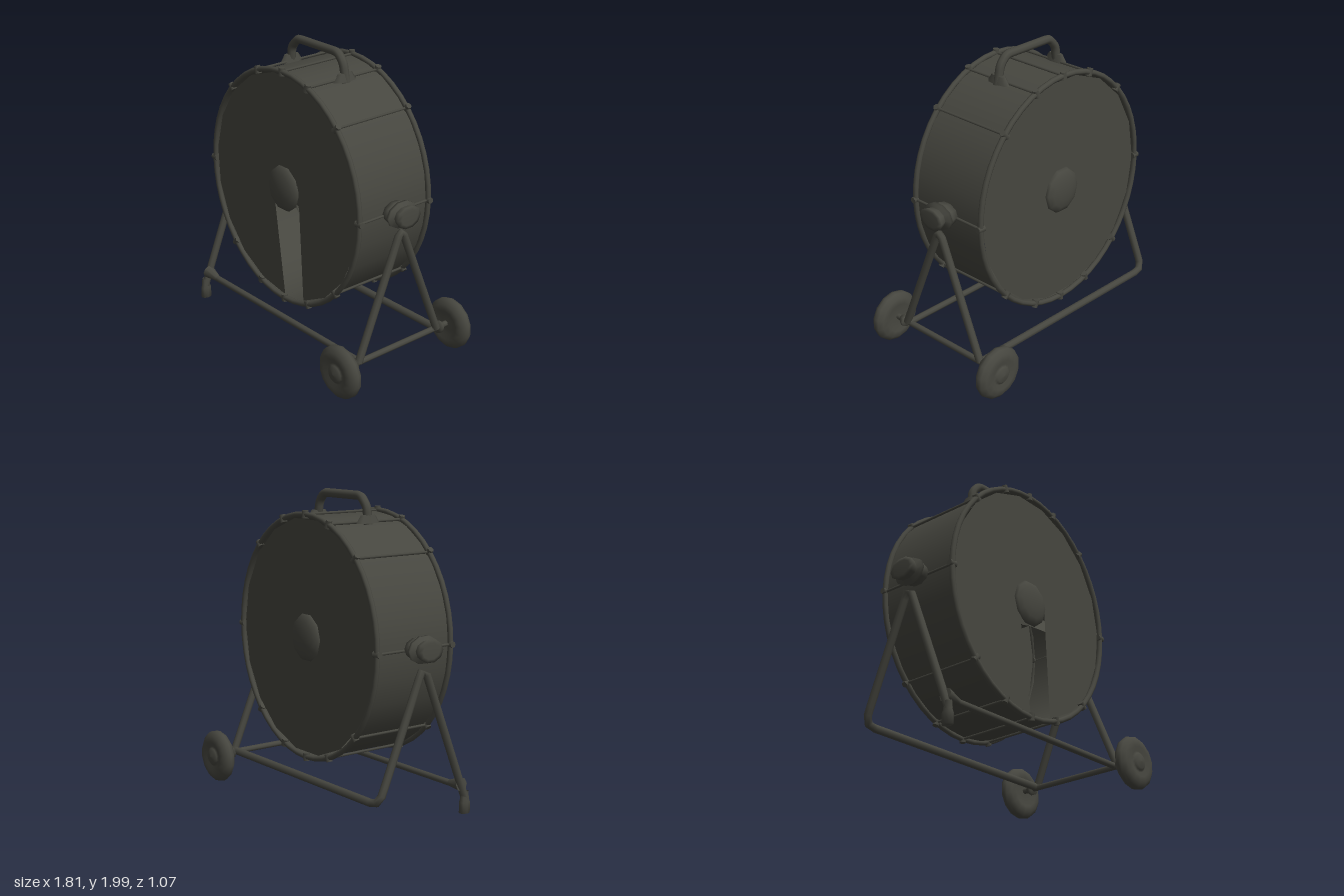
import * as THREE from 'three';

const metal = new THREE.MeshStandardMaterial({ color: 0x46463f, side: THREE.DoubleSide });
metal.name = 'dark grey metal';

const CX = -0.045, CY = 1.09;   // drum centre
const RX = 0.717, RY = 0.772;   // rim half-width and half-height
const RIM_Z = 0.285;
const V = (x, y, z) => new THREE.Vector3(x, y, z);

function add(parent, name, geometry, x = 0, y = 0, z = 0) {
  const mesh = new THREE.Mesh(geometry, metal);
  mesh.name = name;
  mesh.position.set(x, y, z);
  parent.add(mesh);
  return mesh;
}

// Straight round bar between two points
function bar(parent, name, a, b, r0, r1 = r0, sides = 8) {
  const dir = b.clone().sub(a);
  const mesh = add(parent, name, new THREE.CylinderGeometry(r1, r0, dir.length(), sides));
  mesh.position.copy(a).add(b).multiplyScalar(0.5);
  mesh.quaternion.setFromUnitVectors(V(0, 1, 0), dir.normalize());
  return mesh;
}

// Bent tube: straight runs joined by small rounded corners
function bentTube(parent, name, points, radius, corner = 0.05) {
  const path = new THREE.CurvePath();
  let from = points[0];
  for (let i = 1; i < points.length - 1; i++) {
    const p = points[i];
    const a = p.clone().add(points[i - 1].clone().sub(p).setLength(corner));
    const b = p.clone().add(points[i + 1].clone().sub(p).setLength(corner));
    path.add(new THREE.LineCurve3(from, a));
    path.add(new THREE.QuadraticBezierCurve3(a, p, b));
    from = b;
  }
  path.add(new THREE.LineCurve3(from, points[points.length - 1]));
  return add(parent, name, new THREE.TubeGeometry(path, 60, radius, 8));
}

function lathe(points, sides) {
  return new THREE.LatheGeometry(points.map(p => new THREE.Vector2(...p)), sides);
}

function buildDrum() {
  const drum = new THREE.Group();
  drum.name = 'drum';
  drum.position.set(CX, CY, -0.005);

  // Oval shell, open at both ends
  const shell = new THREE.CylinderGeometry(1, 1, 0.59, 28, 1, true).rotateX(Math.PI / 2);
  add(drum, 'shell', shell.scale(RX - 0.007, RY - 0.007, 1));

  // Rim tubes
  for (const z of [RIM_Z, -RIM_Z]) {
    const pts = [];
    for (let i = 0; i < 24; i++) {
      const a = i / 24 * Math.PI * 2;
      pts.push(V(RX * Math.cos(a), RY * Math.sin(a), z));
    }
    const curve = new THREE.CatmullRomCurve3(pts, true);
    add(drum, 'rim', new THREE.TubeGeometry(curve, 48, 0.018, 8, true));
  }

  // Tie rods across the shell with a clamp at each rim
  for (const deg of [0, 45, 70.5, 90, 109.5, 135, 180, 225, 250.5, 270, 289.5, 315]) {
    const a = deg * Math.PI / 180;
    const x = RX * Math.cos(a), y = RY * Math.sin(a);
    bar(drum, 'tieRod', V(x, y, -RIM_Z), V(x, y, RIM_Z), 0.009, 0.009, 6);
    for (const z of [RIM_Z, -RIM_Z]) {
      const clamp = add(drum, 'clamp', new THREE.CylinderGeometry(0.02, 0.023, 0.05, 7), x, y, z);
      clamp.rotation.z = a - Math.PI / 2;
    }
  }

  // Guards: closed at the back, with a service gap at the front
  const DX = RX - 0.019, DY = RY - 0.02;
  const back = new THREE.CircleGeometry(1, 18).scale(DX, DY, 1);
  add(drum, 'backGuard', back, 0, 0, -0.28);
  const outline = [];
  for (let i = 0; i <= 18; i++) {
    const a = (-74.6 + i / 18 * 344.6) * Math.PI / 180;
    outline.push(new THREE.Vector2(DX * Math.cos(a), DY * Math.sin(a)));
  }
  outline.push(new THREE.Vector2(-0.09, -0.13), new THREE.Vector2(0, 0), new THREE.Vector2(0.14, 0.06));
  add(drum, 'frontGuard', new THREE.ShapeGeometry(new THREE.Shape(outline)), 0, 0, 0.28);

  // Domed hub caps
  for (const s of [1, -1]) {
    const cap = new THREE.SphereGeometry(1, 10, 4, 0, Math.PI * 2, 0, Math.PI / 2);
    cap.rotateX(s * Math.PI / 2).scale(0.146, 0.155, 0.05);
    add(drum, 'hubCap', cap, 0, 0, s * 0.278);
  }

  // Motor and twisted blades
  const motor = new THREE.CylinderGeometry(0.13, 0.13, 0.44, 12).rotateX(Math.PI / 2);
  add(drum, 'motor', motor);
  for (let k = 0; k < 4; k++) {
    const blade = new THREE.PlaneGeometry(0.2, 0.56, 2, 8);
    const p = blade.attributes.position;
    for (let i = 0; i < p.count; i++) {
      const t = p.getY(i) / 0.56 + 0.5;
      const w = p.getX(i) * (0.6 + 0.8 * Math.sin(t * Math.PI));
      const twist = 1.05 - 0.4 * t;
      p.setXYZ(i, w * Math.cos(twist), 0.1 + t * 0.56, w * Math.sin(twist));
    }
    blade.computeVertexNormals();
    add(drum, 'blade', blade).rotation.z = Math.PI + 0.2 + k * Math.PI / 2;
  }
  return drum;
}

function buildHandle() {
  const handle = new THREE.Group();
  handle.name = 'handle';
  bentTube(handle, 'grip', [V(-0.3, 1.8, 0), V(-0.29, 1.91, 0), V(-0.23, 1.975, 0),
    V(0.15, 1.975, 0), V(0.2, 1.92, 0), V(0.225, 1.8, 0)], 0.028, 0.03);
  for (const x of [-0.3, 0.215]) {
    const foot = new THREE.CylinderGeometry(0.028, 0.045, 0.05, 8).scale(0.75, 1, 2);
    add(handle, 'handleFoot', foot, x, 1.835, 0);
  }
  return handle;
}

// Oval spool with a locking plate; side +1 is the left of the model
function buildPivot(side) {
  const pivot = new THREE.Group();
  pivot.name = 'pivot';
  pivot.position.set(-0.05 + side * 0.79, 1.1, 0);
  const profile = [[0, -0.12], [0.065, -0.075], [0.075, -0.03], [0.055, -0.014], [0.086, -0.008],
    [0.086, 0.008], [0.055, 0.014], [0.062, 0.025], [0.072, 0.065], [0.05, 0.07], [0, 0.07]];
  const spool = lathe(profile, 10).rotateZ(-Math.PI / 2).scale(1, 1, 1.35);
  add(pivot, 'pivotSpool', spool).rotation.y = side > 0 ? 0 : Math.PI;
  return pivot;
}

function buildFrame() {
  const frame = new THREE.Group();
  frame.name = 'frame';
  const L = -0.84, R = 0.74, Z = 0.335, Y = 0.2;

  // A-shaped side supports
  bentTube(frame, 'wheelSideLegs', [V(R, Y, Z), V(R, 1.01, 0), V(R, Y, -Z)], 0.025, 0.07);
  // Foot-side support bends into the rear rail
  bentTube(frame, 'footSideLegs', [V(L, 0.12, 0.35), V(L, 1.01, 0), V(L, Y, -Z), V(R, Y, -Z)], 0.025, 0.07);
  bar(frame, 'frontRail', V(L, Y, 0.32), V(R, Y, 0.32), 0.021);
  bar(frame, 'railGusset', V(L, 0.215, 0.32), V(-0.73, Y, 0.32), 0.045, 0.02);

  // Rubber foot
  const foot = lathe([[0, 0.03], [0.033, 0.03], [0.033, 0.1], [0.026, 0.12], [0.024, 0.17]], 8);
  add(frame, 'foot', foot, -0.843, 0, 0.345).scale.set(0.85, 1, 1.2);
  return frame;
}

function buildWheels() {
  const wheels = new THREE.Group();
  wheels.name = 'wheels';
  const X = 0.728, Y = 0.185;
  bar(wheels, 'axle', V(X, Y + 0.008, -0.46), V(X, Y + 0.008, 0.46), 0.02);
  const profile = [[0, -0.04], [0.07, -0.035], [0.1, -0.05], [0.14, -0.044], [0.168, -0.022],
    [0.174, 0], [0.168, 0.022], [0.14, 0.044], [0.1, 0.05], [0.07, 0.038], [0.056, 0.045],
    [0.045, 0.056], [0, 0.062]];
  for (const s of [1, -1]) {
    const wheel = add(wheels, 'wheel', lathe(profile, 14).rotateX(Math.PI / 2), X, Y, s * 0.474);
    if (s < 0) wheel.rotation.y = Math.PI;
    const collar = lathe([[0, -0.02], [0.042, -0.014], [0.042, 0.006], [0.02, 0.035]], 8);
    collar.rotateX(s * Math.PI / 2);
    add(wheels, 'axleCollar', collar, X, Y + 0.008, s * 0.37);
  }
  return wheels;
}

export function createModel() {
  const model = new THREE.Group();
  model.name = 'drumFan';
  model.add(buildDrum(), buildHandle(), buildPivot(1), buildPivot(-1), buildFrame(), buildWheels());
  return model;
}
